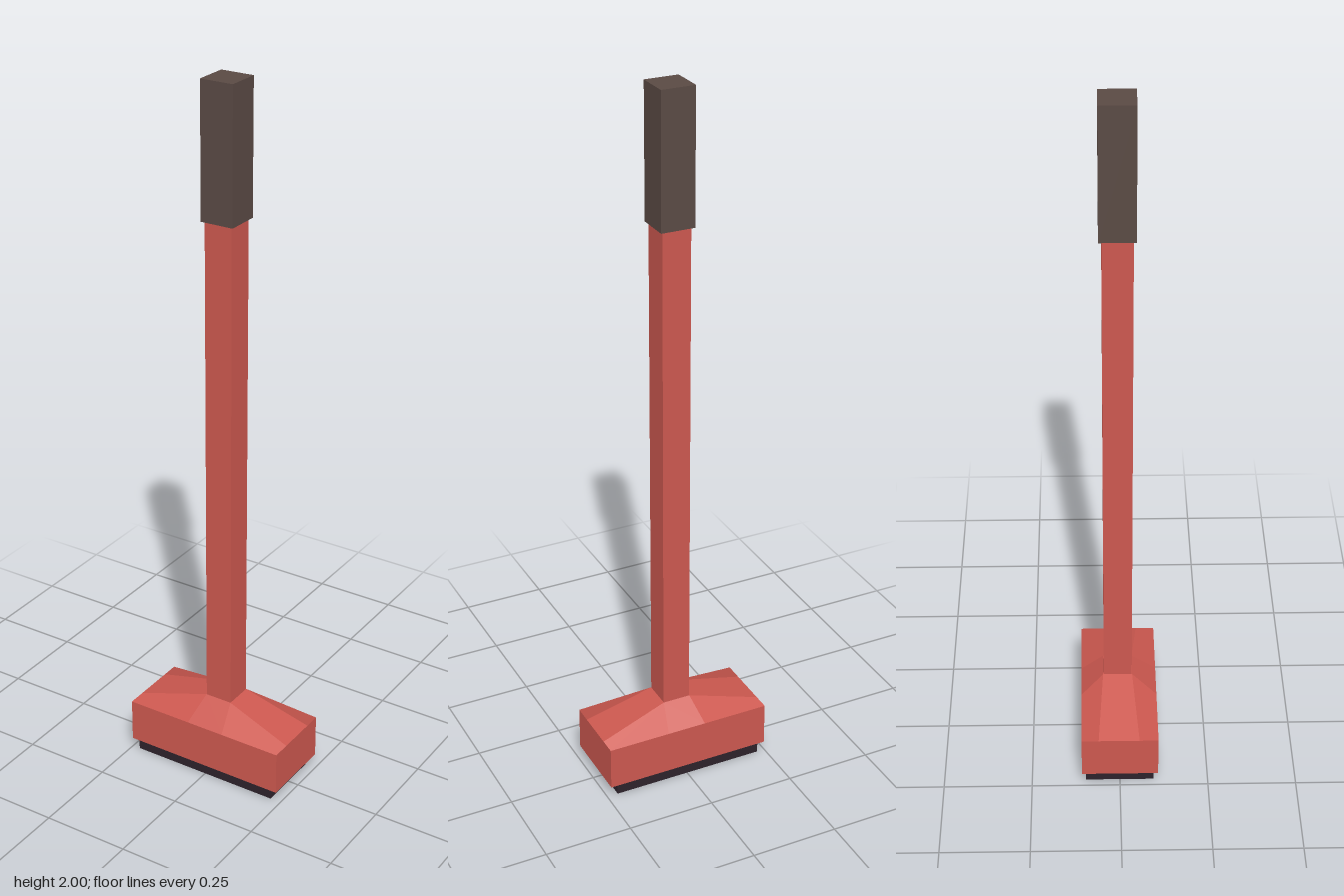
import * as THREE from 'three';

const red = new THREE.MeshStandardMaterial({ color: 0xcc584f });
red.name = 'red paint';
const brown = new THREE.MeshStandardMaterial({ color: 0x5a4a44 });
brown.name = 'brown grip';
const black = new THREE.MeshStandardMaterial({ color: 0x2d222b });
black.name = 'dark rubber';

// Box given by its lower and upper corners
function box(name, material, [x0, y0, z0], [x1, y1, z1]) {
  const geometry = new THREE.BoxGeometry(x1 - x0, y1 - y0, z1 - z0);
  geometry.translate((x0 + x1) / 2, (y0 + y1) / 2, (z0 + z1) / 2);
  const mesh = new THREE.Mesh(geometry, material);
  mesh.name = name;
  return mesh;
}

// Quads a, b, c, d split along a-c, each shaded with one average normal
function quadGeometry(quads) {
  const positions = [], normals = [];
  for (const [a, b, c, d] of quads) {
    const n = c.clone().sub(a).cross(d.clone().sub(b)).normalize();
    for (const p of [a, b, c, a, c, d]) {
      positions.push(p.x, p.y, p.z);
      normals.push(n.x, n.y, n.z);
    }
  }
  const geometry = new THREE.BufferGeometry();
  geometry.setAttribute('position', new THREE.Float32BufferAttribute(positions, 3));
  geometry.setAttribute('normal', new THREE.Float32BufferAttribute(normals, 3));
  return geometry;
}

// Sloped shoulder from the head's rim up to the foot of the shaft
function shoulder() {
  const v = (x, y, z) => new THREE.Vector3(x, y, z);
  const rimY = 0.163, topY = 0.225, X = 0.242, Z = 0.108;
  const xs = [-0.032, 0.048], zs = [-0.045, 0.038];   // shaft corners
  const rx = [-0.05, 0.063], rz = [-0.06, 0.055];     // rim divisions
  // Corners in order: front left, front right, back right, back left
  const corners = [[0, 1], [1, 1], [1, 0], [0, 0]].map(([i, k]) => ({
    top: v(xs[i], topY, zs[k]),
    rim: v(i ? X : -X, rimY, k ? Z : -Z),
    onX: v(i ? X : -X, rimY, rz[k]),
    onZ: v(rx[i], rimY, k ? Z : -Z),
  }));
  const quads = [];
  corners.forEach((c, n) => {
    const next = corners[(n + 1) % 4];
    const even = n % 2 === 0;
    quads.push([c.top, even ? c.onX : c.onZ, c.rim, even ? c.onZ : c.onX]);
    const key = even ? 'onZ' : 'onX';
    quads.push([c.top, c[key], next[key], next.top]);
  });
  const mesh = new THREE.Mesh(quadGeometry(quads), red);
  mesh.name = 'shoulder';
  return mesh;
}

export function createModel() {
  const model = new THREE.Group();
  model.name = 'longHandledTool';
  model.add(
    box('rubberBase', black, [-0.227, 0, -0.097], [0.218, 0.037, 0.096]),
    box('head', red, [-0.242, 0.037, -0.108], [0.242, 0.163, 0.108]),
    shoulder(),
    box('shaft', red, [-0.032, 0.2, -0.043], [0.048, 1.64, 0.037]),
    box('grip', brown, [-0.039, 1.635, -0.051], [0.055, 2, 0.044]),
  );
  return model;
}
